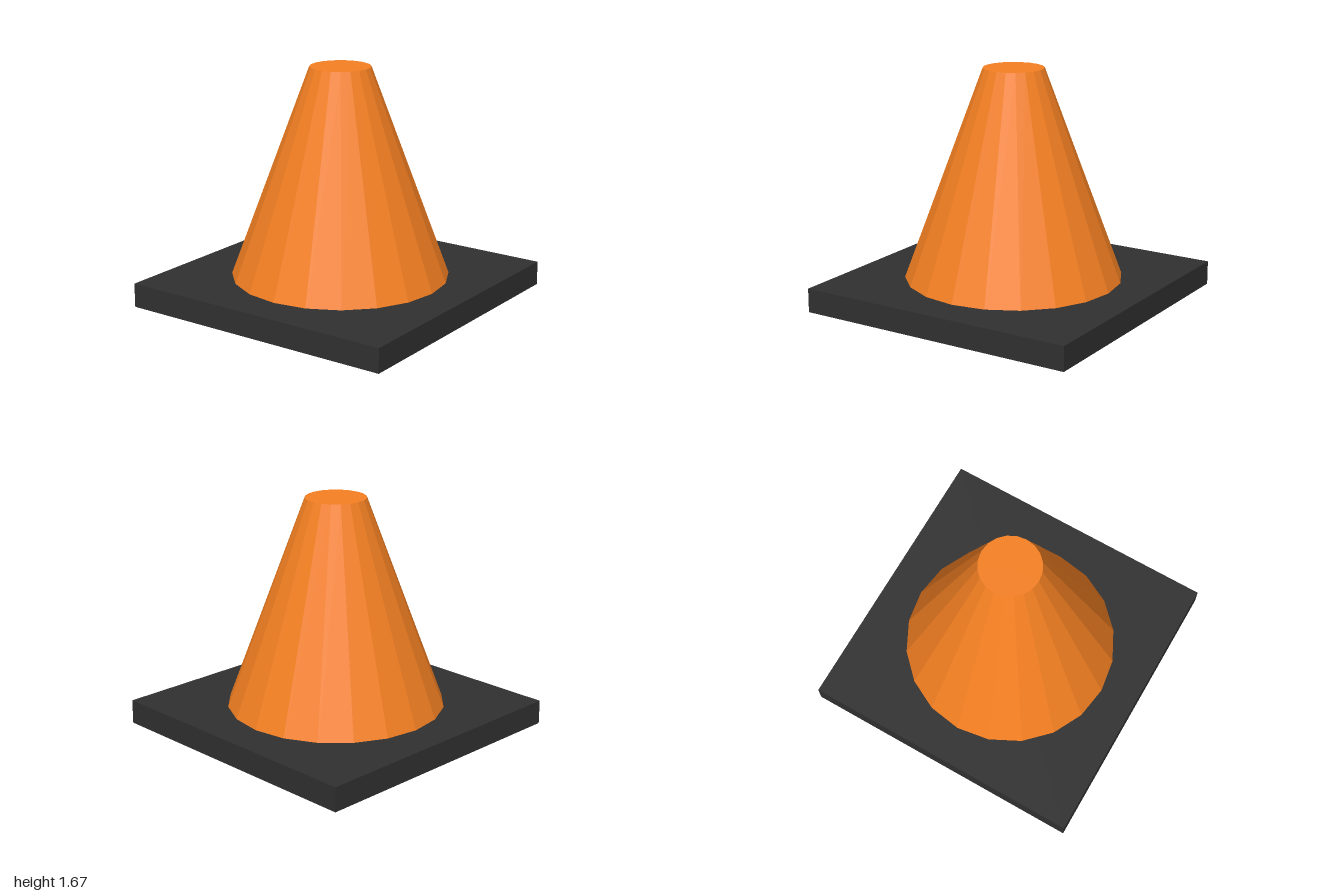
import * as THREE from 'three';

const HEIGHT = 1.67;

function addPart(group, name, geometry, color, y) {
  const material = new THREE.MeshStandardMaterial({ color, flatShading: true });
  const mesh = new THREE.Mesh(geometry, material);
  mesh.name = name;
  mesh.position.y = y;
  group.add(mesh);
}

export function createModel() {
  const group = new THREE.Group();
  group.name = 'trafficCone';

  // Faceted, closed cone body that passes through the base plate
  addPart(group, 'coneBody', new THREE.CylinderGeometry(0.208, 0.83, HEIGHT, 20), 0xf58022, HEIGHT / 2);

  // Square base plate, raised slightly above the cone's foot
  addPart(group, 'basePlate', new THREE.BoxGeometry(2, 0.167, 2), 0x303030, 0.135);

  return group;
}
